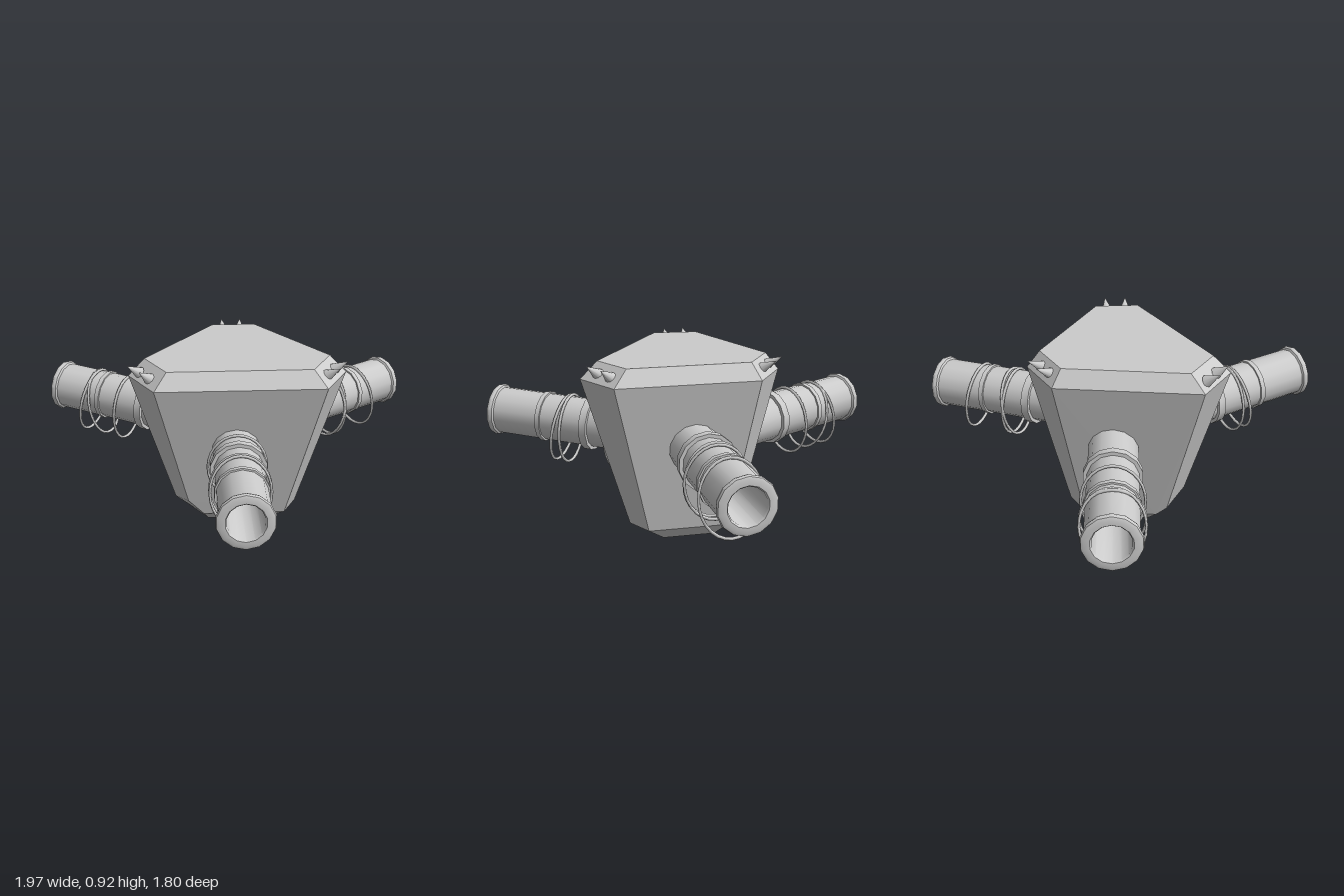
import * as THREE from 'three';
import { ConvexGeometry } from 'three/addons/geometries/ConvexGeometry.js';
import { toCreasedNormals } from 'three/addons/utils/BufferGeometryUtils.js';

const V = (x, y, z) => new THREE.Vector3(x, y, z);
const smooth = new THREE.MeshStandardMaterial({ color: 0xcccccc });
const faceted = new THREE.MeshStandardMaterial({ color: 0xcccccc, flatShading: true });

function add(parent, name, geometry, material = smooth) {
  const mesh = new THREE.Mesh(geometry, material);
  mesh.name = name;
  parent.add(mesh);
  return mesh;
}

// Turned part around the z axis from [radius, z] pairs
function turned(profile, sides = 14) {
  const g = new THREE.LatheGeometry(profile.map(p => new THREE.Vector2(...p)), sides);
  g.rotateX(Math.PI / 2);
  return toCreasedNormals(g, 0.6);
}

// Tapered six-sided block with bevelled rims and one chipped lower corner
function bodyGeometry() {
  const outline = [[-0.39, 0.18], [0.46, 0.18], [0.58, -0.05], [0.17, -0.63], [-0.1, -0.63], [-0.52, -0.05]];
  const cx = 0.03, cz = -0.225;
  const rings = [[0, 0.37], [0.07, 0.57], [0.84, 1], [0.92, 0.85]];
  const points = [];
  for (const [y, s] of rings) {
    outline.forEach(([x, z], i) => {
      if (y === 0.07 && (i === 0 || i === 5)) return;
      points.push(V(cx + (x - cx) * s, y, cz + (z - cz) * s));
    });
  }
  // corners of the chip
  points.push(V(-0.23, 0.16, 0.026), V(-0.15, 0.07, 0.005), V(-0.297, 0.115, -0.12), V(-0.26, 0.07, -0.16));
  return new ConvexGeometry(points);
}

// Hollow pipe whose mouth is at the local origin, facing +z
function makePipe(name, end, dir, hoops) {
  const pipe = new THREE.Group();
  pipe.name = name;
  add(pipe, 'tube', turned([
    [0.124, -0.95], [0.124, -0.038], [0.134, -0.032], [0.138, -0.018], [0.134, -0.005],
    [0.122, 0], [0.095, 0], [0.088, -0.01], [0.088, -0.6], [0, -0.6]]));

  // raised collars
  for (const [z, r, w] of [[-0.3, 0.133, 0.025], [-0.565, 0.142, 0.04]]) {
    const h = w / 2;
    add(pipe, 'collar', turned([[0.115, z - h], [r, z - h], [r, z + h], [0.115, z + h]]));
  }

  // loose hanging hoops, given by the depth of their top and bottom
  for (const [top, bottom] of hoops) {
    const hoop = add(pipe, 'hoop', new THREE.TorusGeometry(0.18, 0.008, 6, 28));
    hoop.scale.set(0.82, 1, 1);
    hoop.position.set(0, -0.047, -(top + bottom) / 2);
    hoop.rotation.x = Math.asin((bottom - top) / 0.36);
  }
  pipe.position.copy(end);
  pipe.lookAt(end.clone().add(dir));
  return pipe;
}

function makeSpike(parent, base, tip) {
  const dir = tip.clone().sub(base);
  const length = dir.length() + 0.015;
  const geometry = new THREE.ConeGeometry(0.03, length, 10);
  geometry.translate(0, length / 2 - 0.015, 0);
  const spike = add(parent, 'spike', geometry);
  spike.position.copy(base);
  spike.quaternion.setFromUnitVectors(V(0, 1, 0), dir.normalize());
}

export function createModel() {
  const model = new THREE.Group();
  model.name = 'threePipeBlock';
  add(model, 'body', bodyGeometry(), faceted);

  model.add(
    makePipe('frontPipe', V(0.015, 0.508, 0.89), V(0, 0.03, 1), [[0.425, 0.37], [0.44, 0.44], [0.67, 0.72]]),
    makePipe('rightPipe', V(-0.925, 0.51, -0.77), V(-0.872, 0.03, -0.489), [[0.24, 0.18], [0.23, 0.31], [0.43, 0.42]]),
    makePipe('leftPipe', V(0.908, 0.49, -0.8), V(0.8, -0.03, -0.6), [[0.25, 0.19], [0.42, 0.46], [0.45, 0.42]]));

  // pairs of spikes on the three narrow bevels: base x, z and tip x, z
  const spikes = [
    [-0.02, -0.6, -0.025, -0.67], [0.07, -0.6, 0.075, -0.67],
    [-0.47, 0.0, -0.52, 0.03], [-0.42, 0.085, -0.46, 0.115],
    [0.52, 0.0, 0.575, 0.02], [0.475, 0.085, 0.525, 0.115]];
  for (const [bx, bz, tx, tz] of spikes) makeSpike(model, V(bx, 0.88, bz), V(tx, 0.92, tz));
  return model;
}
